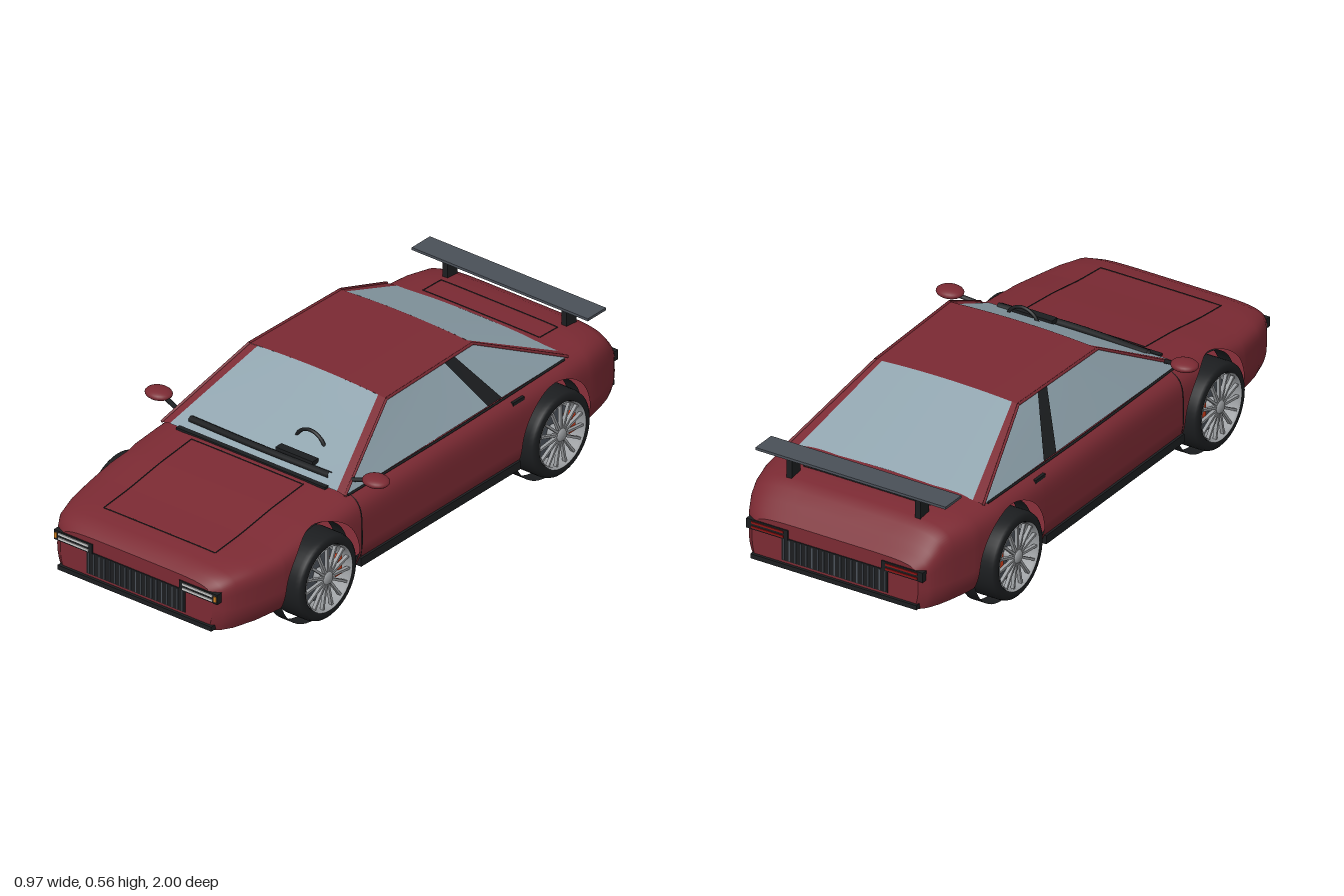
import * as THREE from 'three';

const mat = (color) => new THREE.MeshStandardMaterial({ color, side: THREE.DoubleSide });
const RED = mat(0x7b2a33), GLASS = mat(0x8fa3ad), BLACK = mat(0x1c1e20), SLATE = mat(0x4a5058);
const SILVER = mat(0x9a9da0), WHITE = mat(0xe6e6e6), AMBER = mat(0xd08020), LAMP = mat(0x8c1414), CALIPER = mat(0xd8401c);
const V = (x, y, z) => new THREE.Vector3(x, y, z);
const mesh = (name, geo, m) => Object.assign(new THREE.Mesh(geo, m), { name });
const box = (name, m, w, h, d, x, y, z) => mesh(name, new THREE.BoxGeometry(w, h, d).translate(x, y, z), m);
const tube = (name, m, pts, r, n = 16) => mesh(name, new THREE.TubeGeometry(new THREE.CatmullRomCurve3(pts), n, r, 6), m);

// Body outline along the length: [z, height of top, half width]
const OUTLINE = [[0.99, 0.285, 0.305], [0.97, 0.305, 0.335], [0.93, 0.323, 0.36], [0.85, 0.331, 0.385], [0.75, 0.341, 0.4],
  [0.6, 0.365, 0.41], [0.41, 0.385, 0.41], [0, 0.4, 0.41], [-0.65, 0.4, 0.41], [-0.8, 0.396, 0.395],
  [-0.88, 0.389, 0.375], [-0.92, 0.37, 0.362], [-0.95, 0.335, 0.348], [-0.97, 0.31, 0.335], [-0.99, 0.285, 0.31]];
const AXLES = [0.563, -0.595], AXLE_Y = 0.17, ARCH = 0.177, SILL = 0.125, WAIST = 0.2, N = 6;

function outline(z, k) {
  for (let i = 1; i < OUTLINE.length; i++) {
    const a = OUTLINE[i - 1], b = OUTLINE[i];
    if (z >= b[0]) return a[k] + (b[k] - a[k]) * (a[0] - z) / (a[0] - b[0]);
  }
  return OUTLINE[OUTLINE.length - 1][k];
}
const bodyX = (y, z) => {
  const w = outline(z, 2);
  if (y < WAIST) return w * (1 - 0.05 * ((WAIST - y) / 0.075) ** 2);
  return w * Math.max(0, 1 - ((y - WAIST) / (outline(z, 1) - WAIST)) ** N) ** (1 / N);
};
const bodyY = (x, z) => WAIST + (outline(z, 1) - WAIST) * (1 - (Math.abs(x) / outline(z, 2)) ** N) ** (1 / N);

// Lower edge of the side, rising over the wheel arches
function lowerEdge(z) {
  for (const c of AXLES) {
    const d = Math.abs(z - c);
    if (d <= ARCH) return AXLE_Y + Math.sqrt(Math.max(0, ARCH * ARCH - d * d));
  }
  return SILL;
}

// Half section from the sill up to the centre line
function section(z) {
  const b = lowerEdge(z), w = outline(z, 2), top = outline(z, 1), s = Math.max(b, WAIST), pts = [];
  for (let i = 0; i < 5; i++) { const y = b + (s - b) * i / 5; pts.push([bodyX(y, z), y]); }
  const a0 = Math.asin(((s - WAIST) / (top - WAIST)) ** (N / 2));
  for (let i = 0; i <= 22; i++) {
    const a = a0 + (Math.PI / 2 - a0) * i / 22;
    pts.push([w * Math.max(0, Math.cos(a)) ** (2 / N), WAIST + (top - WAIST) * Math.sin(a) ** (2 / N)]);
  }
  pts[pts.length - 1][0] = 0;
  return [...pts, ...pts.slice(0, -1).reverse().map(([x, y]) => [-x, y])];
}

function bodyShell() {
  const zs = OUTLINE.map((o) => o[0]).filter((z) => AXLES.every((c) => Math.abs(z - c) > ARCH));
  for (const c of AXLES) {
    zs.push(c + ARCH + 0.0005, c - ARCH - 0.0005);
    for (let k = 0; k <= 32; k++) zs.push(c + ARCH * 0.99999 * Math.cos(k * Math.PI / 32));
  }
  for (let z = -0.35; z < 0.38; z += 0.1) zs.push(z);
  zs.sort((a, b) => b - a);
  const rows = zs.map(section), n = rows[0].length, pos = [], idx = [];
  rows.forEach((r, i) => r.forEach(([x, y]) => pos.push(x, y, zs[i])));
  for (let i = 0; i < rows.length - 1; i++) for (let j = 0; j < n - 1; j++) {
    const a = i * n + j, b = a + n;
    idx.push(a, b, a + 1, b, b + 1, a + 1);
  }
  // flat nose and tail faces with their own corners
  for (const [row, z, front] of [[rows[0], zs[0], 1], [rows[rows.length - 1], zs[zs.length - 1], 0]]) {
    const o = pos.length / 3;
    pos.push(0, SILL, z);
    row.forEach(([x, y]) => pos.push(x, y, z));
    for (let j = 1; j < n; j++) front ? idx.push(o, o + j, o + j + 1) : idx.push(o, o + j + 1, o + j);
  }
  const g = new THREE.BufferGeometry();
  g.setAttribute('position', new THREE.Float32BufferAttribute(pos, 3));
  g.setIndex(idx);
  g.computeVertexNormals();
  return mesh('bodyShell', g, RED);
}

// Four-cornered panel: a-b is the lower edge, d-c the upper; crowned in y
function panel(name, m, a, b, c, d, low = 0, high = 0) {
  const g = new THREE.PlaneGeometry(1, 1, 10, 6), p = g.attributes.position;
  for (let i = 0; i < p.count; i++) {
    const u = p.getX(i) + 0.5, v = p.getY(i) + 0.5;
    const q = a.clone().lerp(b, u).lerp(d.clone().lerp(c, u), v);
    p.setXYZ(i, q.x, q.y + 4 * u * (1 - u) * (low + (high - low) * v), q.z);
  }
  g.computeVertexNormals();
  return mesh(name, g, m);
}

function cabin() {
  const g = new THREE.Group(); g.name = 'cabin';
  const at = (s, [x, y, z]) => V(s * x, y, z);
  const A = [0.37, 0.378, 0.41], B = [0.277, 0.553, 0.09], C = [0.267, 0.553, -0.35], D = [0.365, 0.385, -0.7];
  const Ag = [0.337, 0.384, 0.41], Bg = [0.243, 0.555, 0.09], Cg = [0.243, 0.555, -0.35], Dg = [0.325, 0.39, -0.7];
  g.add(panel('roof', RED, at(-1, B), at(1, B), at(1, C), at(-1, C), 0.01, 0.01));
  g.add(panel('windscreen', GLASS, at(-1, Ag), at(1, Ag), at(1, Bg), at(-1, Bg), 0, 0.008));
  g.add(panel('rearWindow', GLASS, at(1, Dg), at(-1, Dg), at(-1, Cg), at(1, Cg), 0.012, 0.008));
  for (const s of [-1, 1]) {
    const q = (a, b, c, d, n, m) => g.add(s > 0 ? panel(n, m, at(s, a), at(s, b), at(s, c), at(s, d))
      : panel(n, m, at(s, b), at(s, a), at(s, d), at(s, c)));
    q(Ag, A, B, Bg, 'frontPillar', RED);
    q(D, Dg, Cg, C, 'rearPillar', RED);
    q(A, D, C, B, 'sideWindow', GLASS);
    q([0.373, 0.388, -0.295], [0.372, 0.388, -0.365], [0.274, 0.552, -0.25], [0.276, 0.552, -0.2], 'middlePillar', BLACK);
    for (const [a, b] of [[A, B], [B, C], [C, D]]) g.add(tube('windowFrame', RED, [at(s, a), at(s, b)], 0.005, 1));
  }
  // dashboard, instrument hood and steering wheel
  g.add(tube('dashboard', BLACK, [V(-0.28, 0.406, 0.375), V(0, 0.41, 0.385), V(0.28, 0.406, 0.375)], 0.012));
  g.add(box('instrumentHood', BLACK, 0.15, 0.016, 0.03, 0.137, 0.421, 0.362));
  const wheel = mesh('steeringWheel', new THREE.TorusGeometry(0.06, 0.006, 8, 24, Math.PI * 0.8).rotateZ(Math.PI * 0.1), BLACK);
  wheel.position.set(0.137, 0.42, 0.295);
  g.add(wheel);
  return g;
}

function roadWheel(side, z) {
  const g = new THREE.Group(); g.name = 'wheel';
  const lathe = (name, m, pts) => g.add(mesh(name, new THREE.LatheGeometry(pts.map(([r, x]) => new THREE.Vector2(r, x)), 48).rotateZ(-Math.PI / 2), m));
  lathe('tyre', BLACK, [[0.112, 0.32], [0.138, 0.32], [0.147, 0.332], [0.147, 0.408], [0.143, 0.422], [0.135, 0.429], [0.116, 0.43], [0.112, 0.424]]);
  lathe('rim', SILVER, [[0.111, 0.32], [0.108, 0.36], [0.107, 0.424], [0.114, 0.432]]);
  lathe('brakeDisc', SLATE, [[0.0, 0.375], [0.09, 0.375], [0.09, 0.385], [0, 0.385]]);
  lathe('hub', SILVER, [[0.024, 0.385], [0.024, 0.424], [0.018, 0.432], [0, 0.433]]);
  for (let i = 0; i < 15; i++) {
    const spoke = box('spoke', SILVER, 0.012, 0.092, 0.008, 0.42, 0.062, 0);
    spoke.rotation.x = i * Math.PI * 2 / 15;
    g.add(spoke);
  }
  g.add(box('brakeCaliper', CALIPER, 0.025, 0.065, 0.03, 0.397, 0.005, -0.073 * side));
  // open wheel well lining
  g.add(mesh('wheelWell', new THREE.CylinderGeometry(0.17, 0.17, 0.053, 48, 1, true).rotateZ(Math.PI / 2).translate(0.3435, 0, 0), BLACK));
  g.position.set(0, AXLE_Y, z);
  if (side < 0) g.rotation.y = Math.PI;
  return g;
}

// Nose or tail trim; dir is +1 at the front and -1 at the back
function endTrim(dir) {
  const g = new THREE.Group(); g.name = dir > 0 ? 'frontTrim' : 'rearTrim';
  g.add(box('grille', BLACK, 0.396, 0.08, 0.012, 0, 0.195, dir * 0.987));
  for (let i = -9; i <= 9; i++) g.add(box('grilleSlat', SLATE, 0.004, 0.074, 0.004, i * 0.021, 0.195, dir * 0.993));
  g.add(box('lip', BLACK, 0.62, 0.016, 0.04, 0, 0.138, dir * 0.98));
  for (const s of [-1, 1]) {
    g.add(box('lampHousing', BLACK, 0.155, 0.034, 0.034, s * 0.252, 0.248, dir * 0.977));
    for (const y of [0.24, 0.256]) g.add(box('lampBar', dir > 0 ? WHITE : LAMP, 0.12, 0.007, 0.004, s * 0.25, y, dir * 0.995));
    if (dir > 0) g.add(box('indicator', AMBER, 0.01, 0.018, 0.004, s * 0.321, 0.248, 0.995));
  }
  return g;
}

export function createModel() {
  const car = new THREE.Group(); car.name = 'sportsCar';
  car.add(bodyShell(), cabin(), endTrim(1), endTrim(-1));

  // floor with wheel notches, and the engine bay
  const edge = [[0.3, 0.98], [0.36, 0.85], [0.37, 0.742], [0.31, 0.742], [0.31, 0.385], [0.388, 0.385], [0.388, -0.417],
    [0.31, -0.417], [0.31, -0.773], [0.37, -0.773], [0.3, -0.98]];
  const outlinePts = [...edge, ...edge.map(([x, z]) => [-x, z]).reverse()].map((p) => new THREE.Vector2(...p));
  car.add(mesh('floor', new THREE.ShapeGeometry(new THREE.Shape(outlinePts)).rotateX(Math.PI / 2).translate(0, SILL, 0), RED));
  car.add(box('engineBay', BLACK, 0.6, 0.22, 0.21, 0, 0.232, -0.55));

  // panel gaps of the bonnet and the boot lid
  const gap = (name, x0, z0, x1, z1) => {
    const pts = [];
    for (let i = 0; i <= 12; i++) {
      const x = x0 + (x1 - x0) * i / 12, z = z0 + (z1 - z0) * i / 12;
      pts.push(V(x, bodyY(x, z), z));
    }
    car.add(tube(name, BLACK, pts, 0.002, 24));
  };
  for (const [name, w, z0, z1] of [['bonnetGap', 0.225, 0.44, 0.875], ['bootGap', 0.235, -0.72, -0.81]]) {
    gap(name, -w, z0, w, z0); gap(name, -w, z1, w, z1);
    gap(name, -w, z0, -w, z1); gap(name, w, z0, w, z1);
  }
  car.add(box('scuttle', BLACK, 0.6, 0.008, 0.018, 0, 0.385, 0.415));

  for (const s of [-1, 1]) {
    for (const z of AXLES) car.add(roadWheel(s, z));
    car.add(box('sill', BLACK, 0.025, 0.03, 0.79, s * 0.398, 0.139, -0.015));
    for (const z of [0.375, -0.44]) {
      const pts = [0.16, 0.2, 0.26, 0.32, 0.35, 0.37].map((y) => V(s * bodyX(Math.max(y, lowerEdge(z)), z), y, z));
      if (z > 0) car.add(tube('doorGap', BLACK, pts, 0.002));
    }
    car.add(box('doorHandle', BLACK, 0.012, 0.012, 0.055, s * bodyX(0.36, -0.42), 0.358, -0.42));
    car.add(tube('beltTrim', BLACK, [V(s * 0.372, 0.377, 0.4), V(s * 0.376, 0.38, -0.15), V(s * 0.367, 0.383, -0.68)], 0.004));
    // door mirror
    const mirror = mesh('mirror', new THREE.SphereGeometry(1, 24, 16).scale(0.047, 0.018, 0.04), RED);
    mirror.position.set(s * 0.438, 0.427, 0.34);
    car.add(mirror, tube('mirrorStalk', BLACK, [V(s * 0.355, 0.408, 0.355), V(s * 0.41, 0.42, 0.342)], 0.008, 2));
    car.add(box('wingSupport', BLACK, 0.02, 0.085, 0.05, s * 0.24, 0.42, -0.86));
  }
  const wing = box('rearWing', SLATE, 0.71, 0.009, 0.09, 0, 0, 0);
  wing.position.set(0, 0.462, -0.857);
  car.add(wing);
  return car;
}
